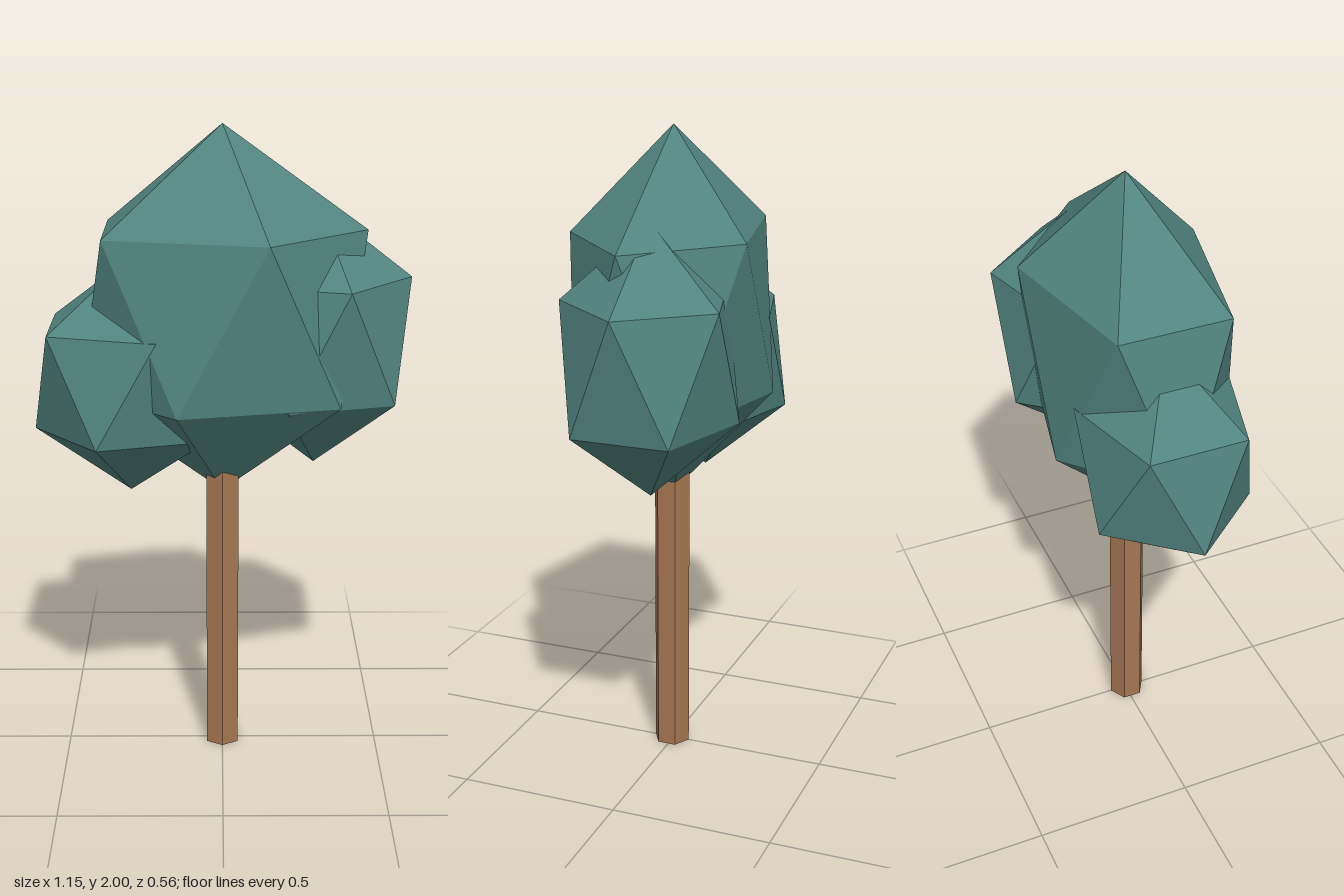
import * as THREE from 'three';

// Unit icosahedron standing on a vertex, with its upper ring pointing along +x
function icosahedronOnPoint() {
  const h = 1 / Math.sqrt(5), r = 2 * h;
  const ring = (y, offset) => Array.from({ length: 5 }, (_, k) => {
    const a = (k + offset) * Math.PI * 2 / 5;
    return [r * Math.cos(a), y, r * Math.sin(a)];
  });
  const up = ring(h, 0), low = ring(-h, 0.5);
  const top = [0, 1, 0], bottom = [0, -1, 0];
  const corners = [];
  for (let k = 0; k < 5; k++) {
    const n = (k + 1) % 5;
    corners.push(top, up[n], up[k]);
    corners.push(up[k], up[n], low[k]);
    corners.push(low[k], up[n], low[n]);
    corners.push(low[k], low[n], bottom);
  }
  const geometry = new THREE.BufferGeometry();
  geometry.setAttribute('position', new THREE.Float32BufferAttribute(corners.flat(), 3));
  return geometry;
}

export function createModel() {
  const tree = new THREE.Group();
  tree.name = 'tree';
  const foliage = new THREE.MeshStandardMaterial({ color: 0x528580, flatShading: true });
  foliage.name = 'foliage green';
  const bark = new THREE.MeshStandardMaterial({ color: 0xa57652, flatShading: true });
  bark.name = 'bark brown';

  // Six-sided trunk reaching up into the crown
  const trunk = new THREE.Mesh(new THREE.CylinderGeometry(0.058, 0.058, 1.05, 6), bark);
  trunk.name = 'trunk';
  trunk.position.set(0, 0.525, 0.005);
  tree.add(trunk);

  // Crown lobes: stretched icosahedra, sized by ring radii and half height
  const addLobe = (name, [x, y, z], ringX, halfHeight, ringZ) => {
    const geometry = icosahedronOnPoint();
    const r = 2 / Math.sqrt(5);
    geometry.scale(ringX / r, halfHeight, ringZ / r);
    geometry.computeVertexNormals();
    const lobe = new THREE.Mesh(geometry, foliage);
    lobe.name = name;
    lobe.position.set(x, y, z);
    tree.add(lobe);
  };
  addLobe('mainCrown', [0, 1.432, 0], 0.436, 0.568, 0.292);
  addLobe('rightCrownLobe', [-0.285, 1.232, 0], 0.293, 0.365, 0.254);
  addLobe('leftCrownLobe', [0.285, 1.353, -0.04], 0.291, 0.408, 0.256);

  return tree;
}
